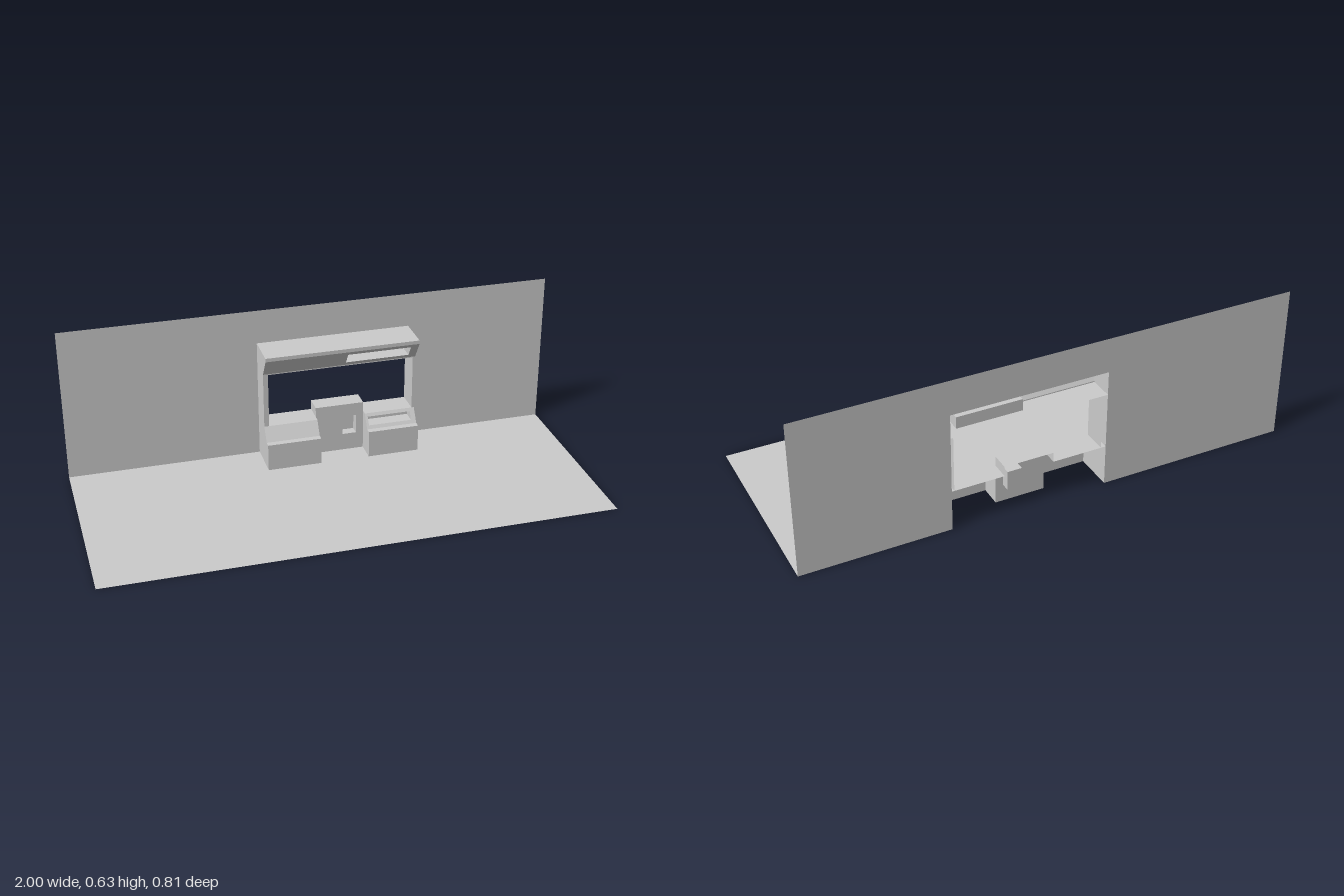
import * as THREE from 'three';

const BACK = -0.407, L = -0.22, R = 0.41;      // wall plane, booth sides
const MID0 = 0, MID1 = 0.2, MIDZ = -0.333;     // centre cabinet
const FRONT = -0.247, FACE = -0.308, HOOD = -0.258;
const DESK = 0.112, SILL = 0.167, LINTEL = 0.394, SLOPE_TOP = 0.475, TOP = 0.49, MID_TOP = 0.207;
const WIN0 = -0.2, WIN1 = 0.4;

export function createModel() {
  const model = new THREE.Group();
  const material = new THREE.MeshStandardMaterial({ color: 0xcccccc, side: THREE.DoubleSide, flatShading: true });

  const add = (name, geometry) => {
    const mesh = new THREE.Mesh(geometry, material);
    mesh.name = name;
    model.add(mesh);
    return mesh;
  };
  const shapeOf = (points) => new THREE.Shape(points.map(([x, y]) => new THREE.Vector2(x, y)));
  const rect = (x0, x1, y0, y1) => [[x0, y0], [x1, y0], [x1, y1], [x0, y1]];

  // Front-facing sheet whose depth follows zOf(y)
  const panel = (name, points, zOf, hole) => {
    const shape = shapeOf(points);
    if (hole) shape.holes.push(shapeOf(hole));
    const geometry = new THREE.ShapeGeometry(shape);
    const p = geometry.attributes.position;
    for (let i = 0; i < p.count; i++) p.setZ(i, zOf(p.getY(i)));
    geometry.computeVertexNormals();
    return add(name, geometry);
  };
  // Horizontal sheet from (x, z) corners
  const shelf = (name, points, y) => {
    const geometry = new THREE.ShapeGeometry(shapeOf(points.map(([x, z]) => [x, -z])));
    geometry.rotateX(-Math.PI / 2).translate(0, y, 0);
    return add(name, geometry);
  };
  // Sheet across x from (z, y) corners
  const side = (name, x, points) => {
    const geometry = new THREE.ShapeGeometry(shapeOf(points.map(([z, y]) => [-z, y])));
    geometry.rotateY(Math.PI / 2).translate(x, 0, 0);
    return add(name, geometry);
  };
  // Box-shaped pocket going back from a front sheet
  const recess = (name, x0, x1, y0, y1, zOf, zBack) => {
    panel(name + 'Back', rect(x0, x1, y0, y1), () => zBack);
    for (const y of [y0, y1]) shelf(name + 'Ledge', rect(x0, x1, zBack, zOf(y)), y);
    for (const x of [x0, x1]) side(name + 'Cheek', x, [[zBack, y0], [zOf(y0), y0], [zOf(y1), y1], [zBack, y1]]);
  };
  const flat = (z) => () => z;
  const ramp = (y0, z0, y1, z1) => (y) => z0 + (z1 - z0) * (y - y0) / (y1 - y0);

  // Wall and floor, both cut away behind and under the booth
  panel('wall', [[-1, 0], [L, 0], [L, TOP], [R, TOP], [R, 0], [1, 0], [1, 0.63], [-1, 0.63]], flat(BACK));
  shelf('floor', [[-1, BACK], [L, BACK], [L, FRONT], [MID0, FRONT], [MID0, MIDZ], [MID1, MIDZ],
    [MID1, FRONT], [R, FRONT], [R, BACK], [1, BACK], [1, -BACK], [-1, -BACK]], 0);

  // Outer side panels
  const deskProfile = [[FRONT, 0], [FRONT, DESK], [-0.272, DESK], [FACE, SILL]];
  for (const x of [L, R]) {
    side('sidePanel', x, [[BACK, 0], ...deskProfile, [FACE, 0.398], [HOOD, SLOPE_TOP], [HOOD, TOP], [BACK, TOP]]);
  }

  // Desks either side of the centre cabinet
  const deskSlope = ramp(DESK, -0.272, SILL, FACE);
  const slot = [0.21, 0.39, 0.125, 0.155];
  for (const [x0, x1, inner, hole] of [[L, MID0, MID0, null], [MID1, R, MID1, rect(...slot)]]) {
    panel('deskFront', rect(x0, x1, 0, DESK), flat(FRONT));
    shelf('deskLedge', rect(x0, x1, -0.272, FRONT), DESK);
    panel('deskSlope', rect(x0, x1, DESK, SILL), deskSlope, hole);
    shelf('sill', rect(x0, x1, BACK, FACE), SILL);
    side('deskInnerSide', inner, [[MIDZ, 0], ...deskProfile, [MIDZ, SILL]]);
  }
  recess('deskTray', ...slot, deskSlope, -0.335);

  // Centre cabinet with its niche
  const niche = [0.112, 0.17, 0.072, 0.153];
  panel('cabinetFront', rect(MID0, MID1, 0, MID_TOP), flat(MIDZ), rect(...niche));
  shelf('cabinetTop', rect(MID0, MID1, BACK, MIDZ), MID_TOP);
  for (const x of [MID0, MID1]) side('cabinetSide', x, rect(BACK, MIDZ, SILL, MID_TOP));
  recess('cabinetNiche', ...niche, flat(MIDZ), -0.372);

  // Window frame strips and jambs
  for (const [outer, inner] of [[L, WIN0], [R, WIN1]]) {
    panel('windowStrip', rect(Math.min(outer, inner), Math.max(outer, inner), SILL, 0.398), flat(FACE));
    side('windowJamb', inner, rect(BACK, FACE, SILL, LINTEL));
  }
  panel('windowHead', rect(WIN0, WIN1, LINTEL, 0.398), flat(FACE));
  shelf('lintel', rect(L, R, BACK, FACE), LINTEL);

  // Hood with its recessed display
  const hoodSlope = ramp(0.398, FACE, SLOPE_TOP, HOOD);
  const display = [0.117, 0.378, 0.413, 0.46];
  panel('hoodSlope', rect(L, R, 0.398, SLOPE_TOP), hoodSlope, rect(...display));
  panel('hoodLip', rect(L, R, SLOPE_TOP, TOP), flat(HOOD));
  shelf('hoodTop', rect(L, R, BACK, HOOD), TOP);
  recess('hoodDisplay', ...display, hoodSlope, -0.385);

  return model;
}
